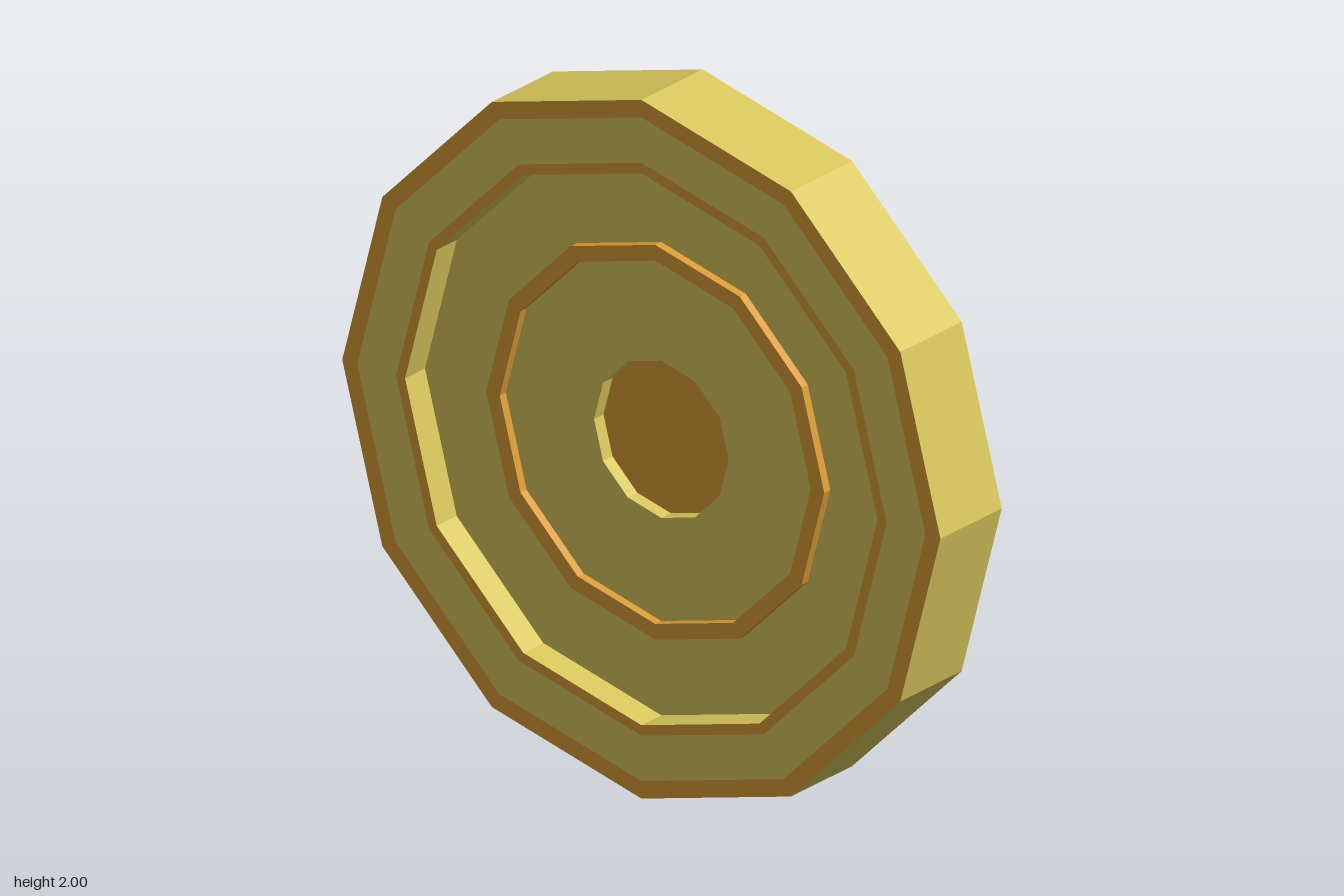
import * as THREE from 'three';

const SIDES = 12;
const HALF = 0.132;       // half thickness of the rim
const PLATE = 0.046;      // half thickness of the recessed plate
const BAND = 0.072;       // half thickness of the raised band
const FLOOR = 0.005;      // half thickness of the centre disc
const RIM_INNER = 0.79;
const HUB = 0.225;

export function createModel() {
  const group = new THREE.Group();
  const gold = new THREE.MeshStandardMaterial({ color: 0xd8c65c, flatShading: true });
  gold.name = 'pale gold';
  const copper = new THREE.MeshStandardMaterial({ color: 0xd99b37, flatShading: true });
  copper.name = 'copper orange';

  // Turns a profile of [radius, depth] points around the z axis
  function turned(name, material, profile) {
    const points = profile.map(([r, z]) => new THREE.Vector2(r, z));
    const geometry = new THREE.LatheGeometry(points, SIDES);
    geometry.rotateX(Math.PI / 2);
    const mesh = new THREE.Mesh(geometry, material);
    mesh.name = name;
    mesh.position.y = 1;
    group.add(mesh);
  }

  // Thick outer rim; its front face is open where the stripes sit
  turned('rim', gold, [[RIM_INNER, HALF], [RIM_INNER, -HALF], [1, -HALF], [1, HALF]]);
  turned('rimFrontFace', gold, [[0.95, HALF], [0.82, HALF]]);

  // Coloured stripes on the front of the rim only
  turned('outerStripe', copper, [[1, HALF], [0.95, HALF]]);
  turned('innerStripe', copper, [[0.82, HALF], [RIM_INNER, HALF]]);

  // Recessed plate with a hole in the middle
  turned('plate', gold, [[RIM_INNER, PLATE], [HUB, PLATE], [HUB, -PLATE], [RIM_INNER, -PLATE]]);

  // Band standing proud of the plate on both sides
  turned('raisedBand', copper, [[0.565, -BAND], [0.565, BAND], [0.52, BAND], [0.52, -BAND], [0.565, -BAND]]);

  // Sunken disc closing the hole
  turned('centreDisc', copper, [[0, -FLOOR], [HUB, -FLOOR], [HUB, FLOOR], [0, FLOOR]]);

  return group;
}
